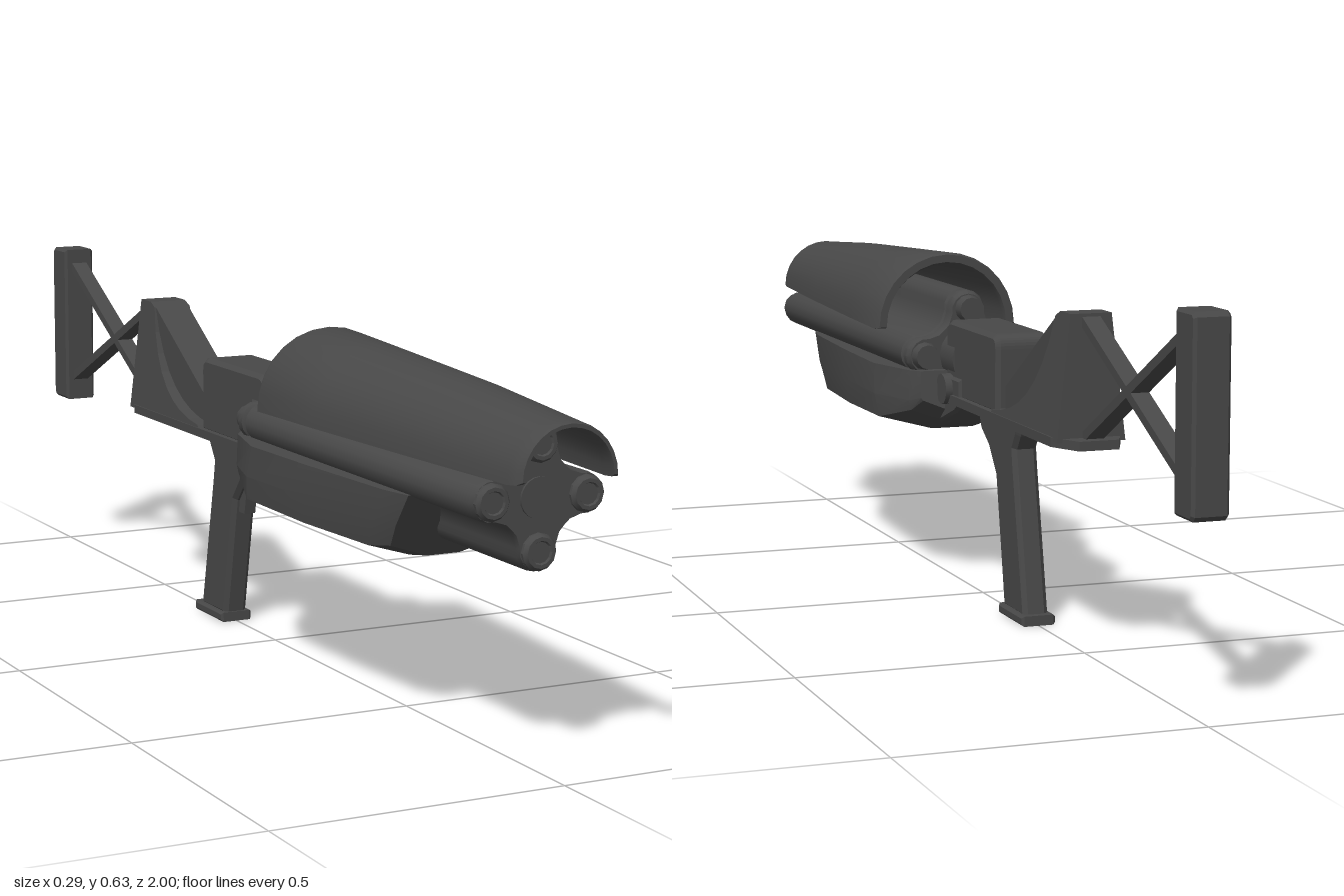
import * as THREE from 'three';
import { toCreasedNormals, mergeVertices } from 'three/addons/utils/BufferGeometryUtils.js';

const V2 = (p) => new THREE.Vector2(p[0], p[1]);

// Skin closed rings (counter-clockwise seen from +z, ordered by rising z) and cap both ends
function loft(rings, crease = 0.5) {
  const n = rings[0].length, pos = rings.flat(2), idx = [];
  for (let i = 0; i < rings.length - 1; i++) {
    for (let j = 0; j < n; j++) {
      const a = i * n + j, b = i * n + ((j + 1) % n);
      idx.push(a, b, a + n, b, b + n, a + n);
    }
  }
  const last = (rings.length - 1) * n;
  for (const [a, b, c] of THREE.ShapeUtils.triangulateShape(rings[0].map(V2), [])) idx.push(a, c, b);
  for (const [a, b, c] of THREE.ShapeUtils.triangulateShape(rings[rings.length - 1].map(V2), [])) {
    idx.push(last + a, last + b, last + c);
  }
  const g = new THREE.BufferGeometry();
  g.setAttribute('position', new THREE.Float32BufferAttribute(pos, 3));
  g.setIndex(idx);
  return toCreasedNormals(g, crease);
}

// Extrude a side profile of [z, y] points across x, with an optional chamfer
function sideExtrude(points, halfWidth, bevel = 0) {
  const shape = Array.isArray(points) ? new THREE.Shape(points.map(V2)) : points;
  const g = new THREE.ExtrudeGeometry(shape, {
    depth: 2 * (halfWidth - bevel), bevelEnabled: bevel > 0, bevelSize: bevel,
    bevelOffset: -bevel, bevelThickness: bevel, bevelSegments: 1, curveSegments: 8,
  });
  g.translate(0, 0, -(halfWidth - bevel));
  g.rotateY(-Math.PI / 2);
  return g;
}

export function createModel() {
  const model = new THREE.Group();
  model.name = 'launcher';
  const metal = new THREE.MeshStandardMaterial({ color: 0x484848 });
  metal.name = 'dark grey';
  const add = (name, geometry, x = 0, y = 0, z = 0) => {
    const mesh = new THREE.Mesh(geometry, metal);
    mesh.name = name;
    mesh.position.set(x, y, z);
    model.add(mesh);
    return mesh;
  };

  // Barrel cluster: four lobes around one core
  const cy = 0.43, lobeDist = 0.084;
  const outline = [];
  for (let k = 0; k < 4; k++) {
    const t = k * Math.PI / 2;
    const put = (u, v) => outline.push([u * Math.cos(t) - v * Math.sin(t), u * Math.sin(t) + v * Math.cos(t)]);
    for (let s = -4; s <= 4; s++) {
      const a = s * 25 * Math.PI / 180;
      put(lobeDist + 0.033 * Math.cos(a), 0.033 * Math.sin(a));
    }
    put(0.058, 0.039);
    put(0.048, 0.048);
    put(0.039, 0.058);
  }
  const section = (z, s) => outline.map(([x, y]) => [x * s, cy + y * s, z]);
  add('barrelCluster', loft([
    section(0.08, 0.95), section(0.09, 1), section(0.105, 1), section(0.108, 0.94),
    section(0.116, 0.94), section(0.12, 1), section(0.9, 1), section(0.91, 0.97),
  ], 0.6));

  // Muzzle caps and rear caps, one pair per barrel
  const muzzle = new THREE.LatheGeometry([
    [0.03, 0], [0.03, 0.018], [0.025, 0.025], [0.019, 0.025], [0.017, 0.021], [0, 0.021],
  ].map(V2), 12);
  muzzle.rotateX(Math.PI / 2);
  const muzzleCap = toCreasedNormals(muzzle, 0.5);
  const rearCap = new THREE.CylinderGeometry(0.027, 0.022, 0.03, 12).rotateX(Math.PI / 2);
  for (let k = 0; k < 4; k++) {
    const x = lobeDist * Math.cos(k * Math.PI / 2), y = cy + lobeDist * Math.sin(k * Math.PI / 2);
    add('muzzleCap', muzzleCap, x, y, 0.897);
    add('rearCap', rearCap, x, y, 0.075);
  }
  add('coreHub', new THREE.CylinderGeometry(0.033, 0.033, 0.01, 20).rotateX(Math.PI / 2), 0, cy, 0.909);
  add('neck', new THREE.CylinderGeometry(0.055, 0.055, 0.1, 16).rotateX(Math.PI / 2), 0, cy, 0.06);

  // Top shroud: a tapering half-tube, [z, outer radius, inner radius, base y]
  const arch = ([z, ro, ri, y0]) => {
    const ring = [];
    for (let i = 0; i <= 14; i++) {
      const a = i * Math.PI / 14;
      ring.push([ro * Math.cos(a), y0 + ro * Math.sin(a), z]);
    }
    for (let i = 14; i >= 0; i--) {
      const a = i * Math.PI / 14;
      ring.push([ri * Math.cos(a), y0 + ri * Math.sin(a), z]);
    }
    return ring;
  };
  add('topShroud', loft([
    [0.2, 0.132, 0.118, 0.47], [0.212, 0.138, 0.116, 0.467], [0.4, 0.129, 0.111, 0.467],
    [0.7, 0.113, 0.098, 0.468], [0.97, 0.093, 0.079, 0.468], [0.99, 0.09, 0.078, 0.47],
    [1.0, 0.083, 0.077, 0.475],
  ].map(arch), 0.7));

  // Lower handguard: [z at top, z at bottom, half width, bottom y, keel half width]
  const guard = ([zt, zb, w, yb, k]) => {
    const half = [[k, yb], [w * 0.96, yb + 0.027], [w, Math.max(0.35, yb + 0.032)], [w * 0.98, 0.405]];
    const all = [...half, ...half.slice().reverse().map(([x, y]) => [-x, y])];
    return all.map(([x, y]) => [x, y, zb + (zt - zb) * (y - yb) / (0.405 - yb)]);
  };
  add('lowerHandguard', loft([
    [0.06, 0.05, 0.1, 0.325, 0.03], [0.08, 0.08, 0.115, 0.305, 0.035],
    [0.2, 0.17, 0.147, 0.281, 0.04], [0.4, 0.38, 0.14, 0.277, 0.04],
    [0.64, 0.57, 0.125, 0.277, 0.035], [0.7, 0.62, 0.112, 0.285, 0.03],
  ].map(guard), 0.35));

  // Receiver with rounded top corners
  const body = new THREE.Shape();
  body.moveTo(-0.21, 0.36);
  body.lineTo(0.06, 0.36);
  body.lineTo(0.06, 0.47);
  body.quadraticCurveTo(0.06, 0.5, 0.03, 0.5);
  body.lineTo(-0.185, 0.5);
  body.quadraticCurveTo(-0.21, 0.5, -0.21, 0.475);
  add('receiver', sideExtrude(body, 0.05, 0.008));

  // Base rail, narrowed at its tail, and the sloped link to the handguard
  const rail = new THREE.Shape([
    [-0.06, -0.04], [0.06, -0.04], [0.062, 0.5], [0.035, 0.56], [-0.035, 0.56], [-0.062, 0.5],
  ].map(V2));
  const railGeo = new THREE.ExtrudeGeometry(rail, { depth: 0.016, bevelEnabled: false });
  add('baseRail', railGeo.rotateX(-Math.PI / 2), 0, 0.351, 0);
  add('frontLink', sideExtrude([[-0.03, 0.352], [0.0, 0.335], [0.09, 0.305], [0.09, 0.4], [-0.03, 0.4]], 0.055, 0.006));
  const pin = new THREE.CylinderGeometry(0.028, 0.028, 0.136, 12).rotateZ(Math.PI / 2);
  add('pivotPin', pin, 0, 0.375, 0.035);

  // Rear stock: slim core plus wider cheek below a curved edge, narrowing upward
  add('stockCore', sideExtrude([
    [-0.525, 0.36], [-0.2, 0.36], [-0.2, 0.405], [-0.455, 0.562], [-0.475, 0.57], [-0.52, 0.57],
  ], 0.034));
  const cheek = new THREE.Shape();
  cheek.moveTo(-0.525, 0.36);
  cheek.lineTo(-0.2, 0.36);
  cheek.lineTo(-0.21, 0.372);
  cheek.bezierCurveTo(-0.33, 0.38, -0.42, 0.43, -0.455, 0.562);
  cheek.lineTo(-0.475, 0.571);
  cheek.lineTo(-0.521, 0.571);
  const cheekGeo = sideExtrude(cheek, 0.06);
  const p = cheekGeo.attributes.position;
  for (let i = 0; i < p.count; i++) {
    const t = (p.getY(i) - 0.36) / 0.21;
    p.setX(i, p.getX(i) * (1 - 0.4 * t));
  }
  cheekGeo.computeVertexNormals();
  add('stockCheek', cheekGeo);

  // Crossed rods to the butt plate
  const rod = (z0, y0, z1, y1) => {
    const len = Math.hypot(z1 - z0, y1 - y0);
    const mesh = add('stockRod', new THREE.BoxGeometry(0.032, 0.016, len), 0, (y0 + y1) / 2, (z0 + z1) / 2);
    mesh.rotation.x = -Math.atan2(y1 - y0, z1 - z0);
  };
  rod(-0.51, 0.562, -0.945, 0.355);
  rod(-0.51, 0.36, -0.945, 0.597);
  add('buttPlate', sideExtrude([
    [-1, 0.32], [-0.993, 0.312], [-0.93, 0.312], [-0.93, 0.626], [-0.993, 0.626], [-1, 0.618],
  ], 0.031, 0.005));

  // Grip, trigger and grip foot
  add('grip', sideExtrude([
    [-0.275, 0.012], [-0.17, 0.012], [-0.127, 0.24], [-0.09, 0.285], [-0.05, 0.31], [-0.03, 0.355],
    [-0.25, 0.355], [-0.235, 0.325], [-0.218, 0.3], [-0.223, 0.27],
  ], 0.023, 0.008));
  add('trigger', sideExtrude([[-0.14, 0.217], [-0.107, 0.217], [-0.09, 0.3], [-0.14, 0.3]], 0.011));
  add('gripFoot', sideExtrude([[-0.287, 0], [-0.165, 0], [-0.165, 0.018], [-0.287, 0.018]], 0.031, 0.004));

  return model;
}
